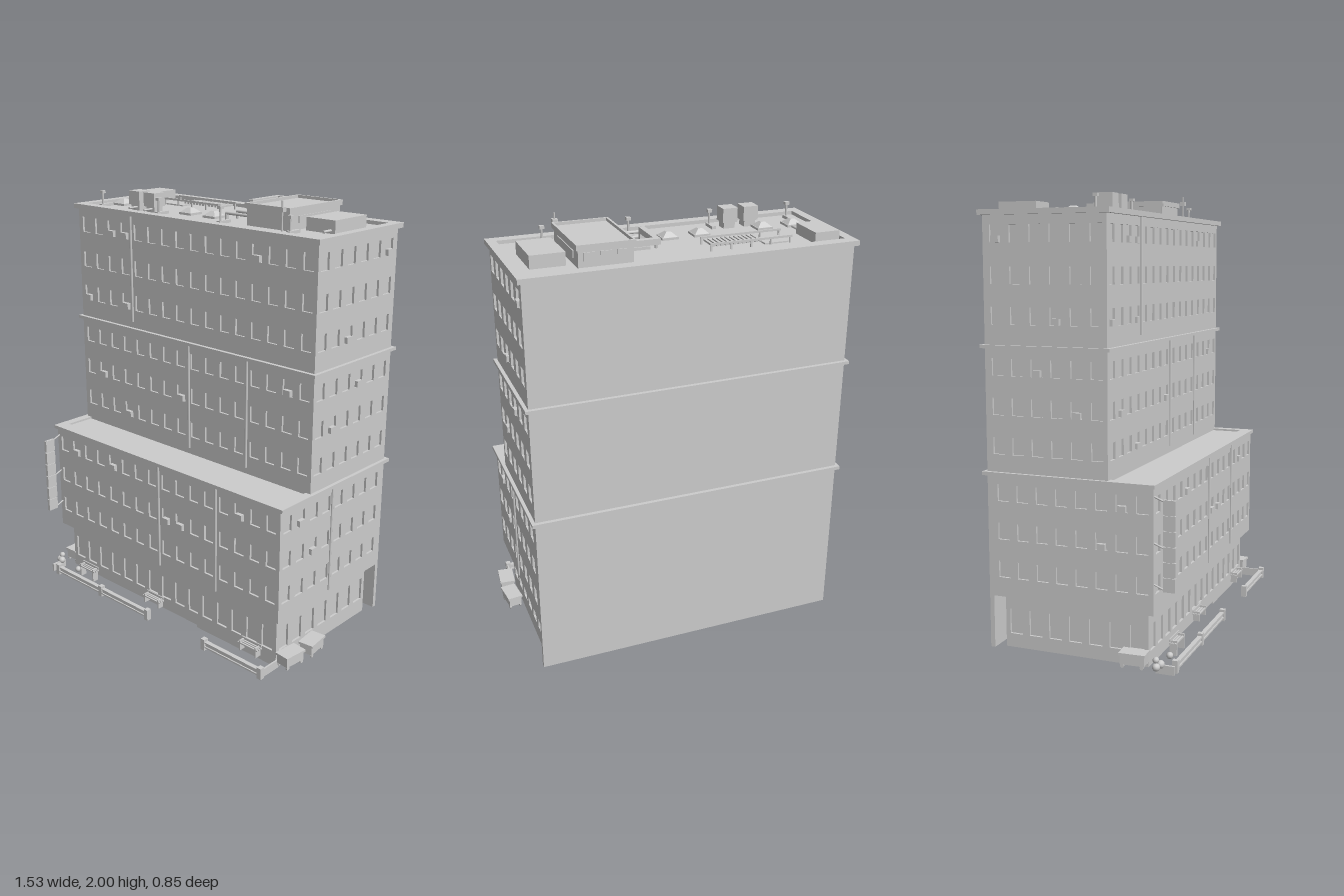
import * as THREE from 'three';

export function createModel() {
  const model = new THREE.Group();
  model.name = 'officeBlock';
  const grey = new THREE.MeshStandardMaterial({ color: 0xcccccc });
  grey.name = 'plainGrey';

  const add = (name, geo, parent = model) => {
    const m = new THREE.Mesh(geo, grey);
    m.name = name;
    parent.add(m);
    return m;
  };
  // box given by its limits on each axis
  const box = (name, x0, x1, y0, y1, z0, z1, parent) => {
    const m = add(name, new THREE.BoxGeometry(x1 - x0, y1 - y0, z1 - z0), parent);
    m.position.set((x0 + x1) / 2, (y0 + y1) / 2, (z0 + z1) / 2);
    return m;
  };
  const rod = (name, a, b, r, sides = 8, parent) => {
    const p = new THREE.Vector3(...a), q = new THREE.Vector3(...b);
    const m = add(name, new THREE.CylinderGeometry(r, r, p.distanceTo(q), sides), parent);
    m.position.copy(p).lerp(q, 0.5);
    m.quaternion.setFromUnitVectors(new THREE.Vector3(0, 1, 0), q.sub(p).normalize());
    return m;
  };
  const rect = (P, x0, x1, y0, y1) => {
    const s = new P();
    s.moveTo(x0, y0); s.lineTo(x1, y0); s.lineTo(x1, y1); s.lineTo(x0, y1);
    s.closePath();
    return s;
  };

  const T = 0.01;                         // wall thickness in front of the glass
  const L = -0.735, R = 0.704, BACK = -0.423, STEP = 0.0893;

  // wall with window openings; a..b runs along the wall, centres lie on the same axis
  function facade(name, a, b, y0, y1, centres, rows, w, h) {
    const s = rect(THREE.Shape, a, b, y0, y1);
    for (const y of rows) for (const c of centres) {
      s.holes.push(rect(THREE.Path, c - w / 2, c + w / 2, y - h / 2, y + h / 2));
    }
    return add(name, new THREE.ExtrudeGeometry(s, { depth: T, bevelEnabled: false }));
  }
  const run = (first, n, step) => Array.from({ length: n }, (_, i) => first + i * step);

  // one block of floors: solid core, front wall, two side walls and plain back
  function block(name, x0, x1, y0, y1, z0, z1, xs, zs, rows, w, h, backWindows) {
    box(name + 'Core', x0 + T, x1 - T, y0, y1, backWindows ? z0 + T : z0, z1 - T);
    facade(name + 'FrontWall', x0, x1, y0, y1, xs, rows, w, h).position.z = z1 - T;
    const left = facade(name + 'LeftWall', -z1 + T, -z0, y0, y1, zs.map(z => -z), rows, w, h);
    left.rotation.y = Math.PI / 2;
    left.position.x = x1 - T;
    const right = facade(name + 'RightWall', z0, z1 - T, y0, y1, zs, rows, w, h);
    right.rotation.y = -Math.PI / 2;
    right.position.x = x0 + T;
    if (backWindows) {
      const back = facade(name + 'BackWall', -x1, -x0, y0, y1, xs.map(x => -x), rows, w, h);
      back.rotation.y = Math.PI;
      back.position.z = z0 + T;
    }
  }
  const xs = run(-0.683, 16, STEP);
  const towerZ = run(-0.365, 6, STEP), wingZ = run(-0.35, 8, STEP);
  const rowsTop = [1.791, 1.624, 1.46], rowsMid = [1.249, 1.085, 0.92], rowsLow = [0.72, 0.555, 0.39];
  block('upperTower', L, R, 1.333, 1.872, BACK, 0.127, xs, towerZ, rowsTop, 0.053, 0.072);
  block('middleTower', L, R, 0.8, 1.333, BACK, 0.127, xs, towerZ, rowsMid, 0.053, 0.072);
  block('lowerWing', L, R, 0.27, 0.8, BACK, 0.323, xs, wingZ, rowsLow, 0.053, 0.072);
  block('groundFloor', -0.693, 0.667, 0.035, 0.27, -0.37, 0.286,
    run(-0.64, 15, 0.0896), run(-0.32, 7, 0.0925), [0.15], 0.06, 0.11, true);
  box('backWall', L, R, 0.04, 0.27, BACK, -0.403);
  box('entranceFloor', 0.19, 0.667, 0.022, 0.036, -0.37, 0.286);
  box('footing', 0.3, 0.6, 0, 0.024, -0.2, 0.1).rotation.x = 0.03;

  // cornices: flat rings that leave the roof slightly sunken
  function cornice(name, y0, h, zFront, holeBack, holeFront) {
    const s = rect(THREE.Shape, -0.75, 0.72, -zFront, 0.44);
    s.holes.push(rect(THREE.Path, -0.708, 0.679, -holeFront, -holeBack));
    const m = add(name, new THREE.ExtrudeGeometry(s, { depth: h, bevelEnabled: false }));
    m.rotation.x = -Math.PI / 2;
    m.position.y = y0;
  }
  cornice('roofCornice', 1.866, 0.022, 0.144, -0.387, 0.095);
  cornice('middleCornice', 1.326, 0.014, 0.144, -0.387, 0.095);
  cornice('terraceCornice', 0.793, 0.016, 0.333, -0.387, 0.272);

  // drainpipes on the walls
  for (const [x, y0, y1, z] of [[-0.37, 1.37, 1.866, 0.13], [-0.005, 0.83, 1.326, 0.13],
    [0.344, 0.83, 1.326, 0.13], [-0.013, 0.29, 0.793, 0.326], [0.344, 0.29, 0.793, 0.326]]) {
    rod('drainpipe', [x, y0, z], [x, y1, z], 0.006);
  }
  rod('sideDrainpipe', [R + 0.003, 0.29, -0.03], [R + 0.003, 0.793, -0.03], 0.005);

  // window coolers and half-lowered sashes
  for (const [c, y, z] of [[2, 1.791, 0.127], [3, 1.791, 0.127], [12, 1.791, 0.127], [0, 1.46, 0.127],
    [3, 1.46, 0.127], [14, 1.249, 0.127], [1, 1.085, 0.127], [7, 1.085, 0.127], [3, 0.92, 0.127],
    [1, 0.72, 0.323], [4, 0.72, 0.323], [13, 0.72, 0.323], [8, 0.555, 0.323], [9, 0.555, 0.323]]) {
    box('windowCooler', xs[c] - 0.018, xs[c] + 0.018, y - 0.035, y - 0.008, z - 0.01, z + 0.009);
  }
  for (const [z, y] of [[towerZ[0], 1.791], [towerZ[3], 1.46], [towerZ[2], 1.249], [towerZ[4], 1.085],
    [wingZ[6], 0.72], [wingZ[5], 0.555]]) {
    for (const x of [R, L]) box('sideCooler', x - 0.009, x + 0.009, y - 0.035, y - 0.008, z - 0.018, z + 0.018);
  }

  // blade sign made of six plain panels on two brackets
  for (let i = 0; i < 6; i++) {
    const y = 0.375 + i * 0.0633;
    box('signPanel', -0.733, -0.718, y, y + 0.058, 0.362, 0.414);
  }
  box('signSpine', -0.729, -0.722, 0.375, 0.75, 0.366, 0.408);
  for (const y of [0.38, 0.55, 0.74]) rod('signBracket', [-0.726, y + 0.02, 0.32], [-0.726, y, 0.37], 0.004, 6);

  // rooftop penthouse with rim and window band
  const F = 1.87;
  box('penthouse', 0.222, 0.453, F, 1.955, -0.346, 0.0);
  for (const x of [0.214, 0.451]) box('penthouseRim', x, x + 0.01, 1.945, 1.968, -0.354, 0.008);
  for (const z of [-0.354, -0.002]) box('penthouseRim', 0.224, 0.451, 1.945, 1.968, z, z + 0.01);
  box('penthouseWindow', 0.45, 0.457, 1.9, 1.93, -0.286, -0.06);
  for (const x of [0.245, 0.315, 0.385]) box('penthouseBackWindow', x, x + 0.045, 1.9, 1.935, -0.35, -0.345);
  rod('mast', [0.44, F, 0.032], [0.44, 2.0, 0.032], 0.004);
  box('mastBox', 0.428, 0.452, 1.955, 1.975, 0.02, 0.044);

  // plant boxes with pipes
  box('plantBoxRight', -0.69, -0.576, F, 1.92, -0.37, -0.2);
  for (const x of [-0.65, -0.594]) rod('plantPipe', [x, 1.885, -0.2], [x, 1.885, -0.13], 0.006);
  box('plantBoxLeft', 0.486, 0.634, F, 1.928, -0.288, -0.07);
  rod('plantPipe', [0.612, 1.885, -0.07], [0.612, 1.885, -0.02], 0.006);

  // ducts beside the penthouse
  box('ductTop', 0.106, 0.222, 1.932, 1.957, -0.34, -0.315);
  box('ductRun', 0.106, 0.131, 1.932, 1.957, -0.315, -0.165);
  box('ductDrop', 0.106, 0.131, F, 1.957, -0.165, -0.144);
  for (let i = 0; i < 4; i++) box('ductSlat', 0.131, 0.222, 1.9, 1.912, -0.285 + i * 0.025, -0.279 + i * 0.025);
  for (const z of [-0.187, -0.113, -0.041]) {
    rod('ventPipe', [0.065, 1.905, z], [0.225, 1.905, z], 0.007);
    rod('ventPipeLeg', [0.068, F, z], [0.068, 1.905, z], 0.007);
  }

  // condenser rack: rails, posts, end unit and slats
  for (const z of [-0.317, -0.212]) {
    box('rackRail', -0.495, -0.12, 1.897, 1.906, z, z + 0.006);
    for (const x of run(-0.49, 5, 0.09)) box('rackPost', x, x + 0.007, F, 1.9, z, z + 0.006);
  }
  box('rackUnit', -0.485, -0.375, F, 1.878, -0.305, -0.215);
  for (const x of run(-0.36, 12, 0.0195)) box('rackSlat', x, x + 0.012, 1.888, 1.896, -0.306, -0.212);

  // pyramid skylights on low curbs
  for (const x of [-0.623, -0.477, -0.177, -0.03]) {
    box('skylightCurb', x - 0.037, x + 0.037, F, 1.882, -0.102, -0.028);
    const g = add('skylight', new THREE.CylinderGeometry(0.014, 0.047, 0.02, 4).toNonIndexed());
    g.geometry.computeVertexNormals();
    g.rotation.y = Math.PI / 4;
    g.position.set(x, 1.892, -0.065);
  }

  // twin vent towers
  for (const [x, z] of [[-0.473, -0.028], [-0.374, -0.028]]) {
    box('ventTower', x, x + 0.069, 1.9, 1.963, z, z + 0.068);
    box('ventTowerBase', x + 0.008, x + 0.061, F, 1.9, z + 0.008, z + 0.06);
    rod('ventTowerPipe', [x + 0.045, 1.89, z + 0.06], [x + 0.045, 1.89, z + 0.11], 0.005);
  }
  // short aerials with feet
  for (const x of [-0.652, -0.27, 0.11, 0.494]) {
    box('aerialFoot', x - 0.01, x + 0.01, F, 1.885, -0.01, 0.06);
    rod('aerial', [x, F, 0.045], [x, 1.945, 0.045], 0.005);
    box('aerialHead', x - 0.01, x + 0.01, 1.935, 1.948, 0.035, 0.055);
  }

  // guard rails along the street
  for (const [x0, x1, posts] of [[-0.695, -0.016, 3], [0.333, 0.687, 2]]) {
    box('guardRailWeb', x0, x1, 0.042, 0.066, 0.396, 0.404);
    for (const y of [0.04, 0.062]) box('guardRailFlange', x0, x1, y, y + 0.007, 0.39, 0.41);
    for (let i = 0; i < posts; i++) {
      const x = x0 + (x1 - x0 - 0.022) * i / (posts - 1);
      box('guardRailPost', x, x + 0.022, 0.026, 0.08, 0.388, 0.412);
    }
  }
  box('leftSideRail', 0.676, 0.684, 0.03, 0.068, 0.286, 0.39);
  box('rightSideRail', -0.728, -0.718, 0.03, 0.068, 0.33, 0.41);

  // benches with slatted seats
  for (const [x, y, z] of [[-0.57, 0.095, 0.33], [-0.14, 0.075, 0.29], [0.475, 0.08, 0.29]]) {
    for (let i = 0; i < 3; i++) box('benchSlat', x, x + 0.115, y, y + 0.006, z + i * 0.012, z + 0.008 + i * 0.012);
    box('benchBack', x, x + 0.115, y + 0.01, y + 0.022, z, z + 0.005);
    for (const d of [0.008, 0.1]) box('benchLeg', x + d, x + d + 0.007, 0.045, y + 0.015, z, z + 0.032);
  }

  // waste skips with lids and wheels
  for (const [x, z, turn] of [[0.725, 0.105, 0.12], [0.718, 0.248, -0.1], [-0.725, 0.235, 0.05]]) {
    const skip = new THREE.Group();
    skip.name = 'wasteSkip';
    box('skipBody', -0.03, 0.03, 0.058, 0.098, -0.052, 0.052, skip);
    box('skipLid', -0.036, 0.036, 0.098, 0.108, -0.057, 0.057, skip);
    for (const wx of [-0.025, 0.025]) for (const wz of [-0.042, 0.042]) {
      rod('skipWheel', [wx - 0.004, 0.052, wz], [wx + 0.004, 0.052, wz], 0.009, 8, skip);
    }
    skip.position.set(x, 0, z);
    skip.rotation.y = turn;
    model.add(skip);
  }
  // refuse sacks by the corner
  for (const [x, y, z, r] of [[-0.75, 0.065, 0.34, 0.017], [-0.725, 0.07, 0.35, 0.018], [-0.738, 0.09, 0.335, 0.014], [-0.6, 0.06, 0.345, 0.015]]) {
    add('refuseSack', new THREE.IcosahedronGeometry(r, 1)).position.set(x, y, z);
  }
  return model;
}
